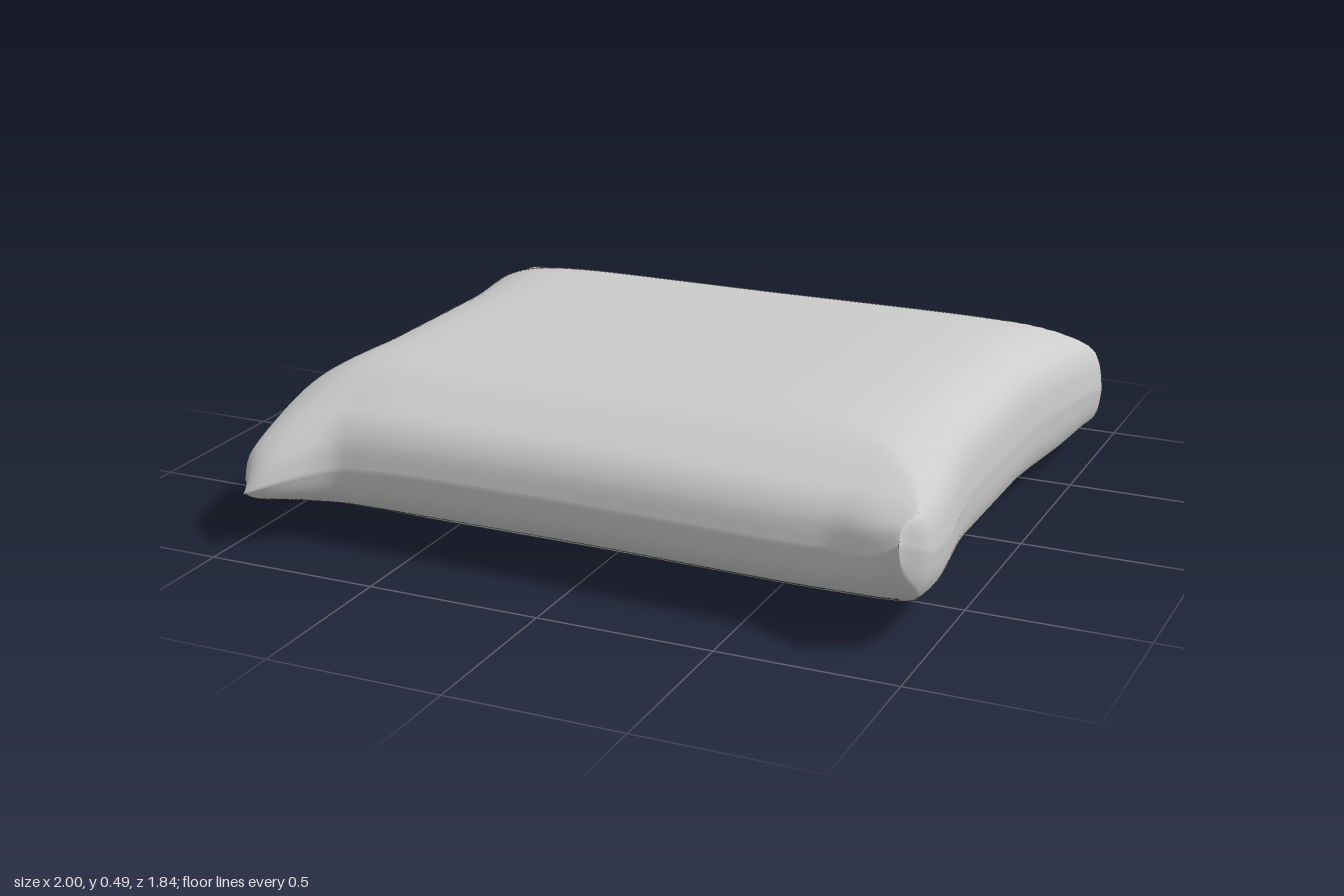
import * as THREE from 'three';
import { mergeGeometries, mergeVertices } from 'three/addons/utils/BufferGeometryUtils.js';

const { smoothstep, lerp } = THREE.MathUtils;

// Cross-sections from the centre to the seam: (distance, thickness), both 0 to 1
const section = (...points) => new THREE.SplineCurve(points.map(([a, f]) => new THREE.Vector2(a, f)));
const sectionX = section([0, 1], [0.32, 1], [0.62, 0.99], [0.79, 0.94], [0.89, 0.83], [0.96, 0.64], [0.99, 0.38], [1, 0]);
const sectionZ = section([0, 1], [0.3, 1], [0.56, 0.99], [0.71, 0.92], [0.86, 0.68], [0.935, 0.52], [0.98, 0.3], [1, 0]);

// One half of the cover: side is 1 for the top, -1 for the underside
function coverHalf(side) {
  const geo = new THREE.PlaneGeometry(2, 2, 84, 84);
  geo.rotateX(-side * Math.PI / 2);
  geo.deleteAttribute('uv');
  geo.deleteAttribute('normal');
  const pos = geo.attributes.position;
  for (let i = 0; i < pos.count; i++) {
    const sx = Math.sign(pos.getX(i)), sz = Math.sign(pos.getZ(i));
    const { x: a, y: fx } = sectionX.getPoint(Math.min(1, Math.abs(pos.getX(i))));
    const { x: b, y: fz } = sectionZ.getPoint(Math.min(1, Math.abs(pos.getZ(i))));
    const u = sx * a, v = sz * b;
    const right = smoothstep(u, 0, 0.9);
    // Side edges draw in between the corners
    const flareX = lerp(0.07, 0.06, right) * smoothstep(b, 0.25, 0.92) - 0.05 * smoothstep(b, 0.93, 1);
    const width = lerp(0.93, 0.94, right);
    // Pinched ears at the corners, longer on one side
    const ear = lerp(0.125, 0.075, right) * smoothstep(a, 0.75, 1);
    const depth = 0.795 + 0.03 * smoothstep(u, -0.2, 0.9);
    // Seam twists alternately up and down at the tips
    const twist = 0.08 * sx * sz * (a * b) ** lerp(6, 10, right);
    // Ears are thin on one side, blunt and thick on the other
    const h = 0.24 * lerp(fx * fz, Math.min(fx, fz), 0.7 * right);
    pos.setXYZ(i,
      width * u + sx * a ** 5 * flareX,
      0.245 + twist + 0.008 * v * (1 - b ** 4) + side * h,
      depth * v + sz * b ** 7 * ear);
  }
  return geo;
}

export function createModel() {
  const group = new THREE.Group();
  group.name = 'pillow';
  // Halves welded along the seam for smooth shading
  const geo = mergeVertices(mergeGeometries([coverHalf(1), coverHalf(-1)]), 1e-4);
  geo.computeVertexNormals();
  geo.computeBoundingBox();
  geo.translate(0, -geo.boundingBox.min.y, 0);
  const cover = new THREE.Mesh(geo, new THREE.MeshStandardMaterial({ color: 0xcccccc }));
  cover.name = 'cushionCover';
  group.add(cover);
  return group;
}
